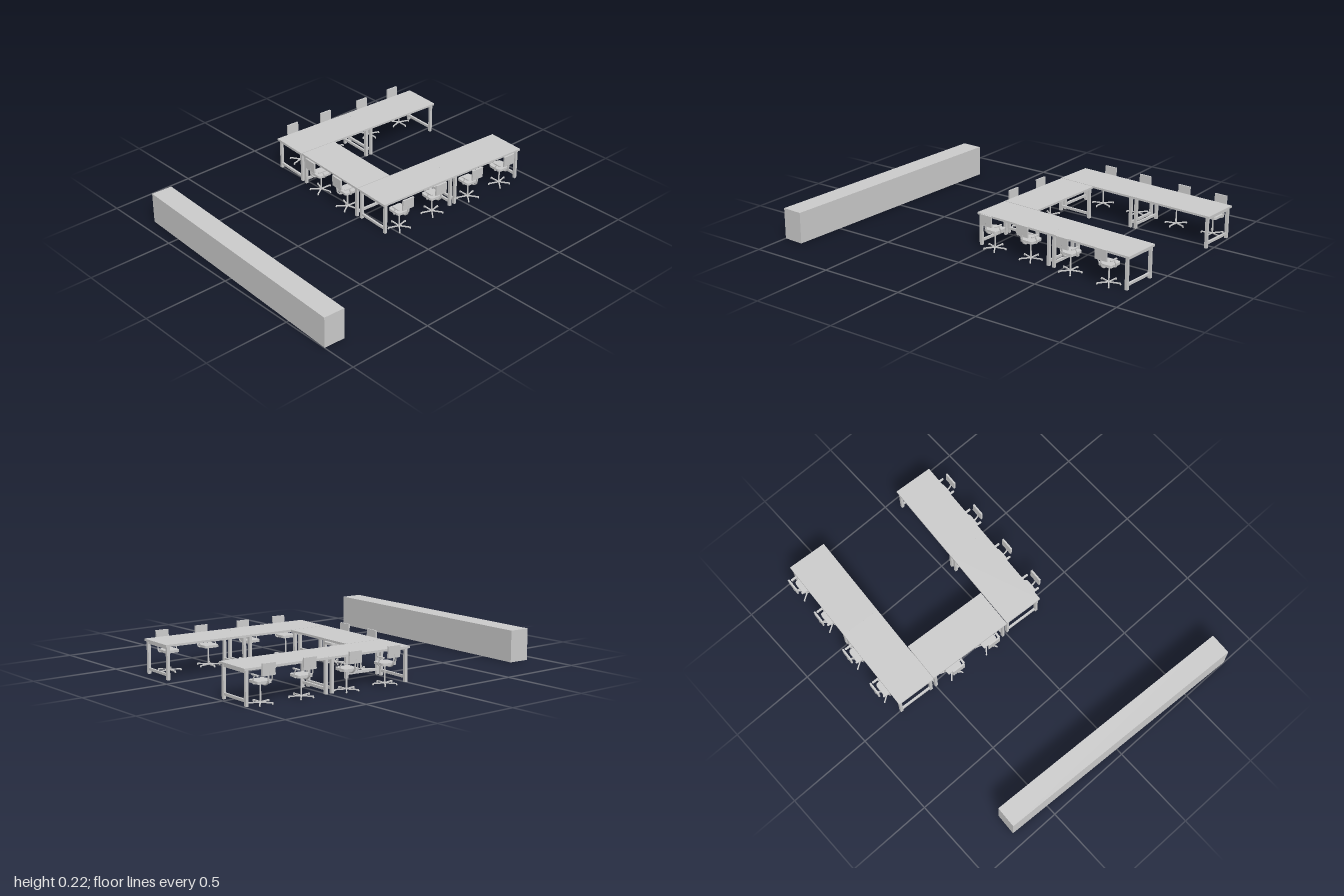
import * as THREE from 'three';

const grey = new THREE.MeshStandardMaterial({ color: 0xcccccc, side: THREE.DoubleSide });
const TILT = -0.065; // the whole desk arrangement is turned slightly

function part(parent, name, geometry, x = 0, y = 0, z = 0) {
  const mesh = new THREE.Mesh(geometry, grey);
  mesh.name = name;
  mesh.position.set(x, y, z);
  parent.add(mesh);
  return mesh;
}

const box = (w, h, d) => new THREE.BoxGeometry(w, h, d);

// Flat slab with rounded corners, lying in the xz plane
function roundedSlab(w, d, h, r) {
  const s = new THREE.Shape();
  const x = w / 2, y = d / 2;
  s.moveTo(-x + r, -y);
  s.lineTo(x - r, -y);
  s.quadraticCurveTo(x, -y, x, -y + r);
  s.lineTo(x, y - r);
  s.quadraticCurveTo(x, y, x - r, y);
  s.lineTo(-x + r, y);
  s.quadraticCurveTo(-x, y, -x, y - r);
  s.lineTo(-x, -y + r);
  s.quadraticCurveTo(-x, -y, -x + r, -y);
  const g = new THREE.ExtrudeGeometry(s, { depth: h, bevelEnabled: false, curveSegments: 4 });
  return g.rotateX(-Math.PI / 2);
}

// Desk: top along x, carried by a closed frame at each end
function createDesk() {
  const L = 0.51, D = 0.233, post = 0.016;
  const desk = new THREE.Group();
  desk.name = 'desk';
  part(desk, 'deskTop', box(L, 0.012, D), 0, 0.185, 0);
  for (const side of [-1, 1]) {
    const frame = new THREE.Group();
    frame.name = 'endFrame';
    frame.position.x = side * (L / 2 - 0.018);
    for (const z of [-1, 1]) {
      part(frame, 'leg', box(post, 0.179, post), 0, 0.0895, z * (D / 2 - 0.014));
    }
    part(frame, 'lowerRail', box(0.012, 0.014, D - 0.03), 0, 0.027, 0);
    part(frame, 'upperRail', box(0.012, 0.014, D - 0.03), 0, 0.172, 0);
    desk.add(frame);
  }
  return desk;
}

// Swivel chair facing +z, with the column at the origin
function createChair() {
  const chair = new THREE.Group();
  chair.name = 'chair';

  // Five-armed foot
  for (let i = 0; i < 5; i++) {
    const a = (i / 5) * Math.PI * 2;
    const foot = part(chair, 'footArm', box(0.007, 0.006, 0.066),
      Math.sin(a) * 0.033, 0.01, Math.cos(a) * 0.033);
    foot.rotation.y = a;
    part(chair, 'caster', new THREE.SphereGeometry(0.005, 8, 6),
      Math.sin(a) * 0.064, 0.005, Math.cos(a) * 0.064);
  }
  part(chair, 'column', new THREE.CylinderGeometry(0.004, 0.005, 0.1, 10), 0, 0.058, 0);
  part(chair, 'seatPlate', box(0.04, 0.006, 0.04), 0, 0.105, 0);
  part(chair, 'seat', roundedSlab(0.088, 0.09, 0.014, 0.018), 0, 0.108, 0);

  // Backrest and its bent support
  const back = part(chair, 'backrest', box(0.077, 0.064, 0.01), 0, 0.186, -0.073);
  back.rotation.x = -0.04;
  const support = new THREE.CatmullRomCurve3([
    new THREE.Vector3(0, 0.105, -0.01), new THREE.Vector3(0, 0.106, -0.05),
    new THREE.Vector3(0, 0.125, -0.07), new THREE.Vector3(0, 0.175, -0.074),
  ]);
  part(chair, 'backSupport', new THREE.TubeGeometry(support, 12, 0.005, 6));

  // Armrests on bent uprights
  for (const s of [-1, 1]) {
    const upright = new THREE.CatmullRomCurve3([
      new THREE.Vector3(s * 0.03, 0.108, -0.015), new THREE.Vector3(s * 0.054, 0.112, -0.015),
      new THREE.Vector3(s * 0.056, 0.13, -0.02), new THREE.Vector3(s * 0.05, 0.154, -0.028),
    ]);
    part(chair, 'armUpright', new THREE.TubeGeometry(upright, 10, 0.0035, 6));
    part(chair, 'armrest', roundedSlab(0.012, 0.055, 0.006, 0.005), s * 0.05, 0.152, -0.03);
  }
  return chair;
}

export function createModel() {
  const model = new THREE.Group();
  model.name = 'meetingRoomFurniture';

  // Long solid counter
  const counter = part(model, 'counter', box(1.532, 0.18, 0.125), 0.03, 0.09, 0.9);
  counter.rotation.y = -0.048;

  // Desks in a U: [name, x, z, extra turn]
  const quarter = Math.PI / 2;
  const desks = [
    ['rightWingBackDesk', -0.584, -0.738, quarter],
    ['rightWingFrontDesk', -0.617, -0.229, quarter],
    ['middleDesk', -0.251, -0.07, 0],
    ['leftWingFrontDesk', 0.133, -0.185, quarter],
    ['leftWingBackDesk', 0.166, -0.694, quarter],
  ];
  for (const [name, x, z, turn] of desks) {
    const desk = createDesk();
    desk.name = name;
    desk.position.set(x, 0, z);
    desk.rotation.y = TILT + turn;
    model.add(desk);
  }

  // Chairs around the outside: middle of each backrest [x, z], per row
  const rows = [
    { name: 'rightWingChair', turn: quarter,
      at: [[-0.749, -0.9], [-0.763, -0.657], [-0.787, -0.383], [-0.801, -0.135]] },
    { name: 'leftWingChair', turn: -quarter,
      at: [[0.348, -0.8], [0.335, -0.552], [0.316, -0.282], [0.308, -0.035]] },
    { name: 'middleChair', turn: Math.PI, at: [[-0.377, 0.089], [-0.132, 0.105]] },
  ];
  for (const { name, turn, at } of rows) {
    const angle = TILT + turn;
    for (const [x, z] of at) {
      const chair = createChair();
      chair.name = name;
      chair.position.set(x + Math.sin(angle) * 0.08, 0, z + Math.cos(angle) * 0.08);
      chair.rotation.y = angle;
      model.add(chair);
    }
  }
  return model;
}
